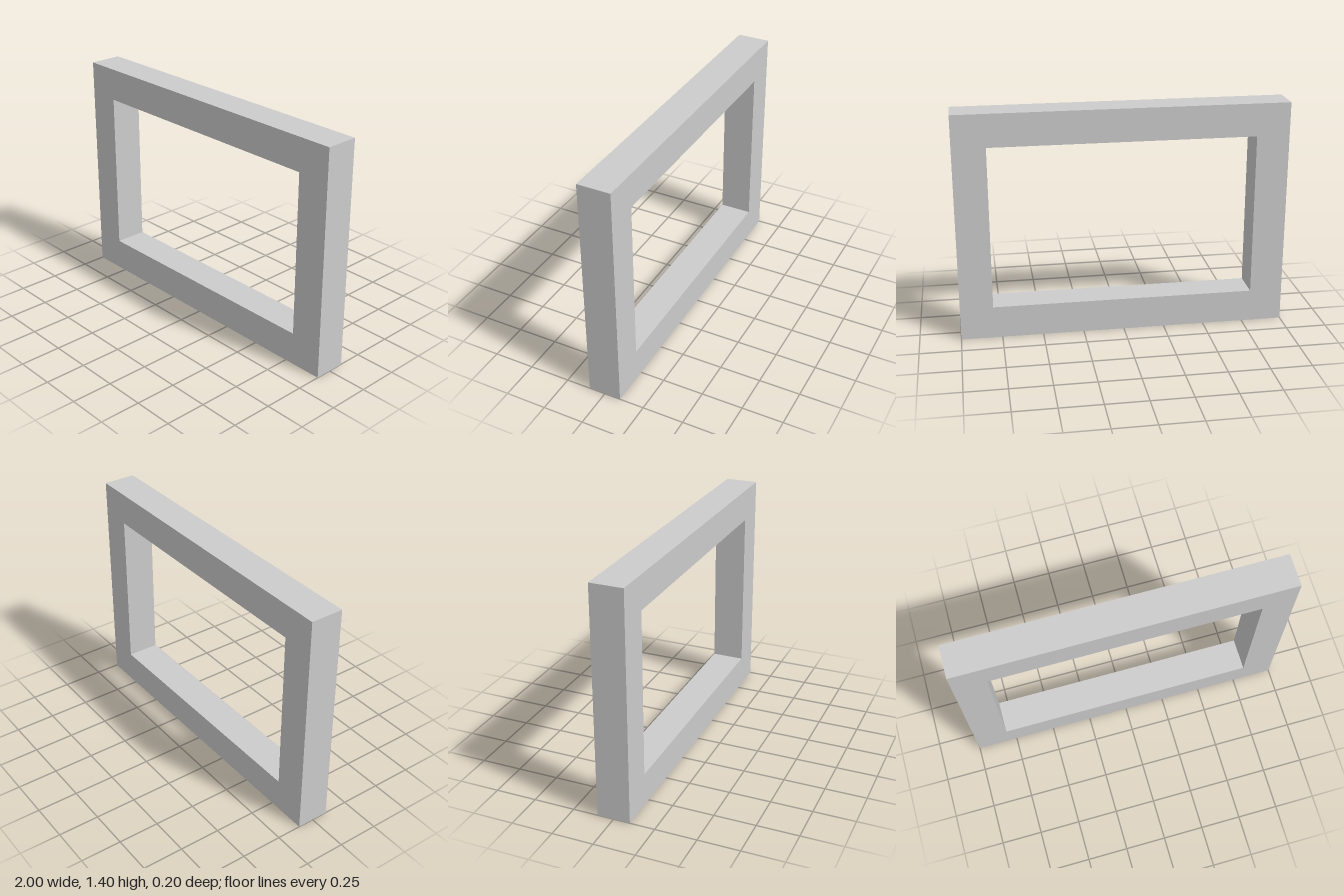
import * as THREE from 'three';

const WIDTH = 2, HEIGHT = 1.4, DEPTH = 0.2, BORDER = 0.2;

// Corners of the frame outline, moved inward by an inset
function rectangle(inset) {
  const x = WIDTH / 2 - inset;
  const bottom = inset, top = HEIGHT - inset;
  return [[-x, bottom], [x, bottom], [x, top], [-x, top]].map(([px, py]) => new THREE.Vector2(px, py));
}

export function createModel() {
  const group = new THREE.Group();
  group.name = 'rectangularFrame';

  // One solid frame: outer rectangle with a rectangular opening
  const shape = new THREE.Shape(rectangle(0));
  shape.holes.push(new THREE.Path(rectangle(BORDER).reverse()));
  const geometry = new THREE.ExtrudeGeometry(shape, { depth: DEPTH, bevelEnabled: false });
  geometry.translate(0, 0, -DEPTH / 2);

  const material = new THREE.MeshStandardMaterial({ color: 0xcccccc });
  const frame = new THREE.Mesh(geometry, material);
  frame.name = 'frame';
  group.add(frame);
  return group;
}
